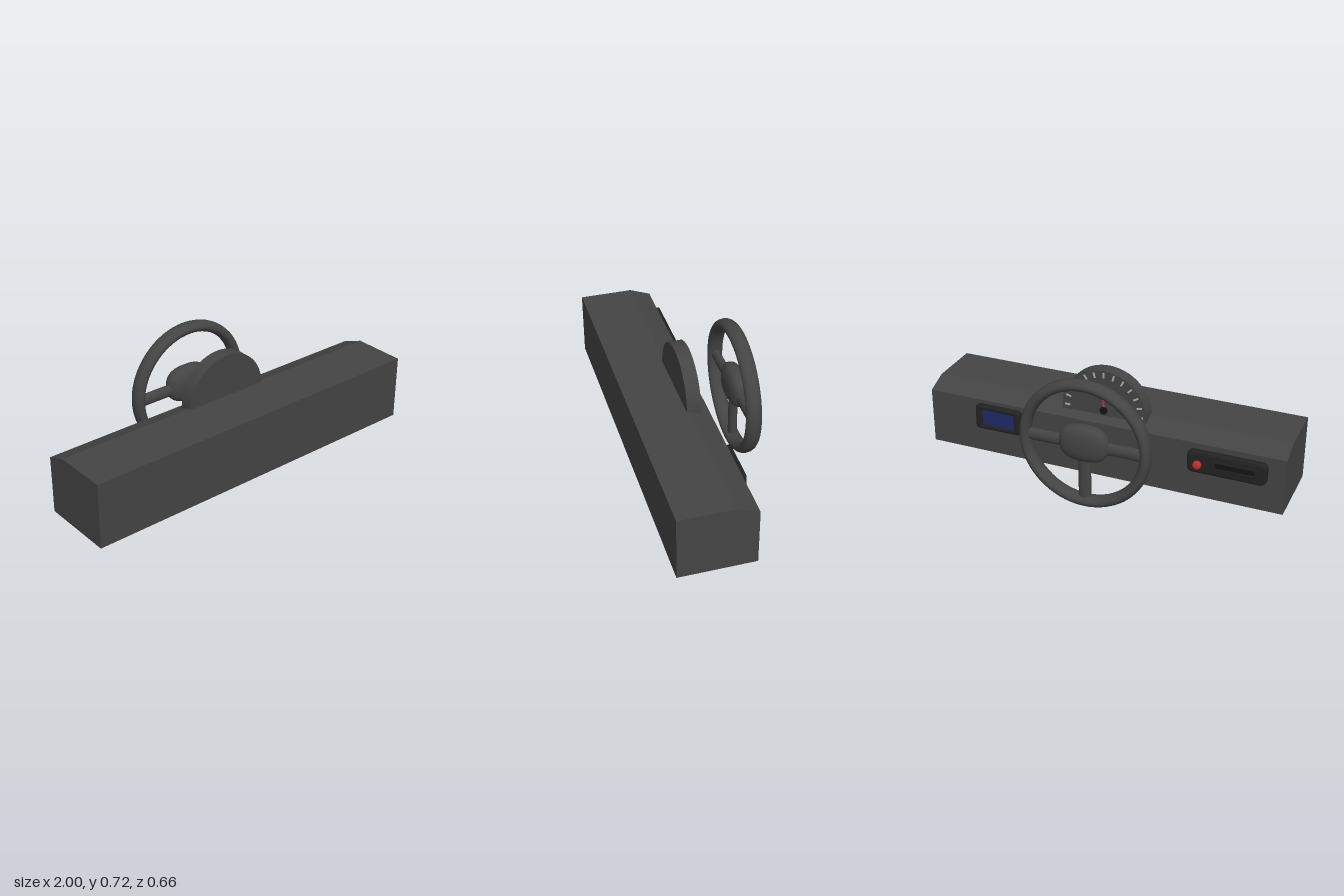
import * as THREE from 'three';

const mat = (color, extra = {}) => {
  const m = new THREE.MeshStandardMaterial({ color });
  return Object.assign(m, extra);
};

export function createModel() {
  const group = new THREE.Group();
  const body = mat(0x444444), dark = mat(0x222222), black = mat(0x141414);
  const red = mat(0xcc3333), blue = mat(0x1f2a66), pale = mat(0xaaaaaa);

  function add(name, geometry, material, x = 0, y = 0, z = 0, parent = group) {
    const mesh = new THREE.Mesh(geometry, material);
    mesh.name = name;
    mesh.position.set(x, y, z);
    parent.add(mesh);
    return mesh;
  }

  function roundedRect(target, w, h, r) {
    const x = w / 2, y = h / 2;
    target.moveTo(-x + r, -y);
    target.lineTo(x - r, -y);
    target.quadraticCurveTo(x, -y, x, -y + r);
    target.lineTo(x, y - r);
    target.quadraticCurveTo(x, y, x - r, y);
    target.lineTo(-x + r, y);
    target.quadraticCurveTo(-x, y, -x, y - r);
    target.lineTo(-x, -y + r);
    target.quadraticCurveTo(-x, -y, -x + r, -y);
    return target;
  }

  // Bevelled plate standing on z = 0 and rising towards -z, optionally with a window
  function plate(w, h, depth, bevel, r, hole) {
    const shape = roundedRect(new THREE.Shape(), w - 2 * bevel, h - 2 * bevel, r);
    if (hole) shape.holes.push(roundedRect(new THREE.Path(), hole[0] + 2 * bevel, hole[1] + 2 * bevel, 0.012));
    const geo = new THREE.ExtrudeGeometry(shape, {
      depth: depth - bevel, bevelEnabled: true, bevelSize: bevel,
      bevelThickness: bevel, bevelSegments: 2, curveSegments: 4,
    });
    return geo.rotateY(Math.PI);
  }

  // Dashboard: side profile (z, y) swept across the full width
  const profile = new THREE.Shape([
    [0.33, 0.07], [0.33, 0.427], [0.04, 0.427], [-0.075, 0.383], [-0.075, 0.07],
  ].map(([z, y]) => new THREE.Vector2(-z, y)));
  const dash = new THREE.ExtrudeGeometry(profile, { depth: 2, bevelEnabled: false });
  dash.translate(0, 0, -1).rotateY(Math.PI / 2);
  add('dashboard', dash, body);

  // Gauge: half disc rising from the dashboard, with ticks, needle and pivot
  const gauge = new THREE.Group();
  gauge.name = 'gauge';
  gauge.position.set(0, 0.423, -0.02);
  group.add(gauge);
  const half = new THREE.Shape();
  half.moveTo(-0.238, -0.04);
  half.lineTo(0.238, -0.04);
  half.lineTo(0.238, 0);
  half.absarc(0, 0, 0.238, 0, Math.PI, false);
  add('gaugeHousing', new THREE.ExtrudeGeometry(half, { depth: 0.075, bevelEnabled: false, curveSegments: 32 }),
    body, 0, 0, 0, gauge);
  const ticks = 13;
  for (let i = 0; i < ticks; i++) {
    const a = (i / (ticks - 1)) * Math.PI;
    const tick = add('gaugeTick', new THREE.BoxGeometry(0.03, 0.01, 0.004), pale,
      0.205 * Math.cos(a), 0.205 * Math.sin(a) + 0.008, -0.001, gauge);
    tick.rotation.z = a;
  }
  add('needle', new THREE.BoxGeometry(0.01, 0.155, 0.006), red, 0, 0.068, -0.001, gauge);
  add('needlePivot', new THREE.CylinderGeometry(0.021, 0.021, 0.012, 20).rotateX(Math.PI / 2), black,
    0, 0.012, -0.003, gauge);

  // Steering wheel: oval-section rim, soft hub and three spokes
  const wheel = new THREE.Group();
  wheel.name = 'steeringWheel';
  wheel.position.set(0, 0.365, -0.272);
  group.add(wheel);
  add('wheelRim', new THREE.TorusGeometry(0.332, 0.03, 16, 64).scale(1, 1, 1.42), body, 0, 0, 0, wheel);

  const hub = new THREE.SphereGeometry(1, 36, 24);
  const pos = hub.attributes.position;
  const power = 2.6;
  for (let i = 0; i < pos.count; i++) {
    const v = new THREE.Vector3().fromBufferAttribute(pos, i);
    const n = Math.pow(Math.abs(v.x) ** power + Math.abs(v.y) ** power + Math.abs(v.z) ** power, 1 / power);
    v.divideScalar(n);
    pos.setXYZ(i, v.x * 0.135, v.y * 0.1, v.z * 0.055);
  }
  hub.computeVertexNormals();
  add('wheelHub', hub, body, 0, 0.01, -0.005, wheel);

  for (const [name, angle] of [['leftSpoke', -Math.PI / 2], ['rightSpoke', Math.PI / 2], ['lowerSpoke', Math.PI]]) {
    const spoke = new THREE.CylinderGeometry(0.034, 0.034, 0.3, 20).scale(1, 1, 0.7).translate(0, 0.18, 0);
    add(name, spoke, body, 0, 0, 0, wheel).rotation.z = angle;
  }

  // Radio panel: bevelled plate with a framed slot and a red knob
  const radio = new THREE.Group();
  radio.name = 'radio';
  radio.position.set(-0.7, 0.29, -0.075);
  group.add(radio);
  add('radioPanel', plate(0.42, 0.125, 0.034, 0.014, 0.02), dark, 0, 0, 0, radio);
  add('radioSlotFrame', plate(0.23, 0.05, 0.006, 0.002, 0.004, [0.205, 0.028]), dark, -0.045, 0.004, -0.032, radio);
  add('radioSlot', new THREE.BoxGeometry(0.205, 0.028, 0.002), black, -0.045, 0.004, -0.034, radio);
  const knob = new THREE.LatheGeometry([
    [0, 0], [0.022, 0], [0.022, 0.016], [0.018, 0.021], [0, 0.021],
  ].map(([r, y]) => new THREE.Vector2(r, y)), 24).rotateX(-Math.PI / 2);
  add('radioKnob', knob, red, 0.15, -0.007, -0.033, radio);

  // Display: raised frame around a recessed blue screen
  const display = new THREE.Group();
  display.name = 'display';
  display.position.set(0.585, 0.293, -0.075);
  group.add(display);
  add('displayFrame', plate(0.265, 0.14, 0.032, 0.009, 0.014, [0.19, 0.09]), dark, 0, 0, 0, display);
  add('displayScreen', new THREE.BoxGeometry(0.21, 0.11, 0.018), blue, 0, 0, -0.009, display);

  return group;
}
